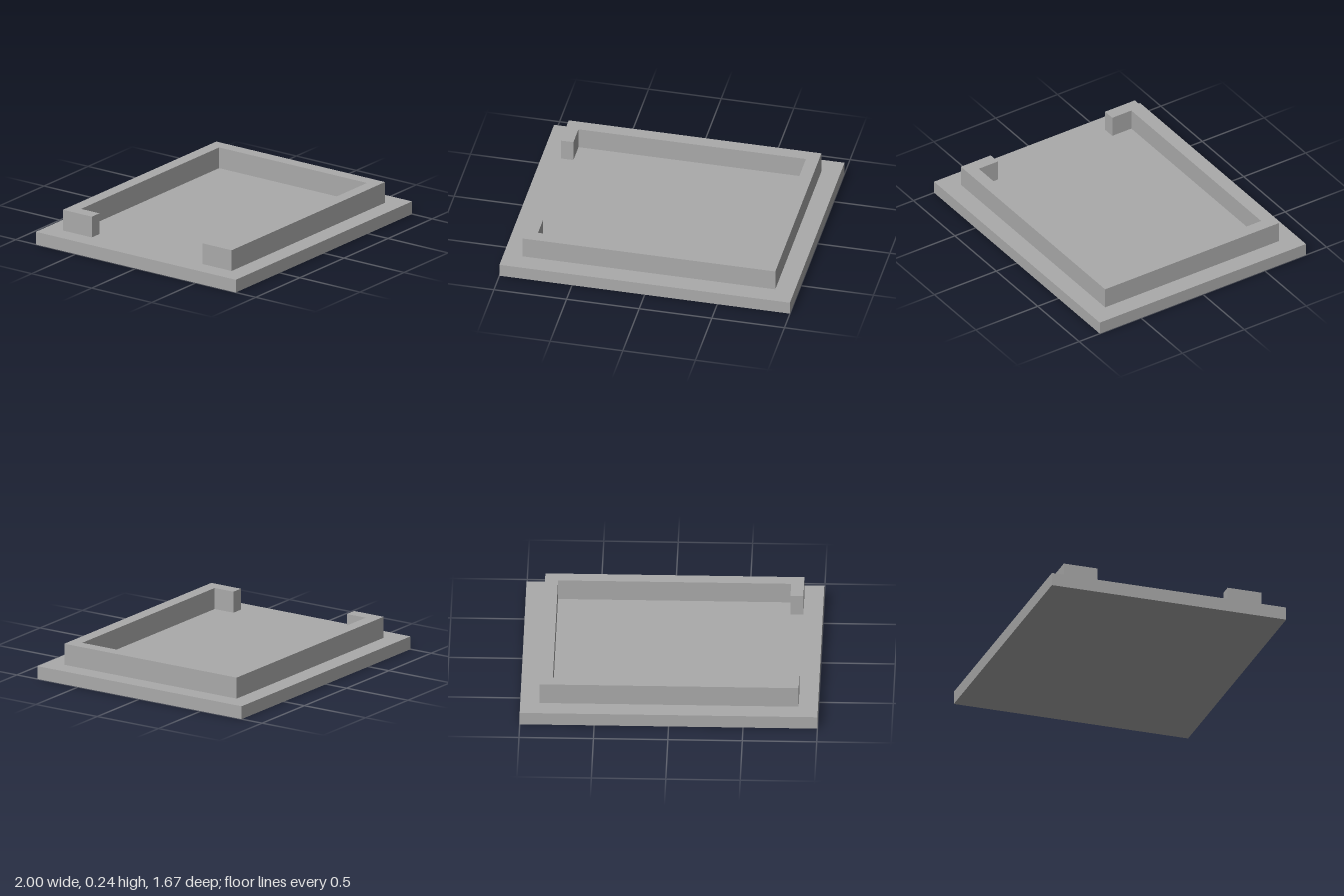
import * as THREE from 'three';

export function createModel() {
  const model = new THREE.Group();
  model.name = 'walledTray';

  const grey = new THREE.MeshStandardMaterial({ color: 0xaaaaaa });
  grey.name = 'plain grey';

  const plateHeight = 0.09;
  const wallHeight = 0.147;

  // Flat base plate
  const plate = new THREE.Mesh(new THREE.BoxGeometry(2, plateHeight, 1.666), grey);
  plate.name = 'basePlate';
  plate.position.y = plateHeight / 2;
  model.add(plate);

  // Raised wall: a C-shaped outline, open in the middle of the -x side
  const x = 0.87, z = 0.703;
  const innerX = 0.783, innerZ = 0.616;
  const lipEnd = 0.462;
  const half = [
    [-innerX, lipEnd], [-x, lipEnd], [-x, z], [x, z],
  ];
  const innerHalf = [[innerX, innerZ], [-innerX, innerZ]];
  const mirror = (points) => points.map(([px, pz]) => [px, -pz]).reverse();
  const outline = [...half, ...mirror(half), ...mirror(innerHalf), ...innerHalf];
  const shape = new THREE.Shape(outline.map(([px, pz]) => new THREE.Vector2(px, pz)));

  const wallGeometry = new THREE.ExtrudeGeometry(shape, { depth: wallHeight, bevelEnabled: false });
  wallGeometry.rotateX(-Math.PI / 2);
  const wall = new THREE.Mesh(wallGeometry, grey);
  wall.name = 'rimWall';
  wall.position.y = plateHeight;
  model.add(wall);

  return model;
}
